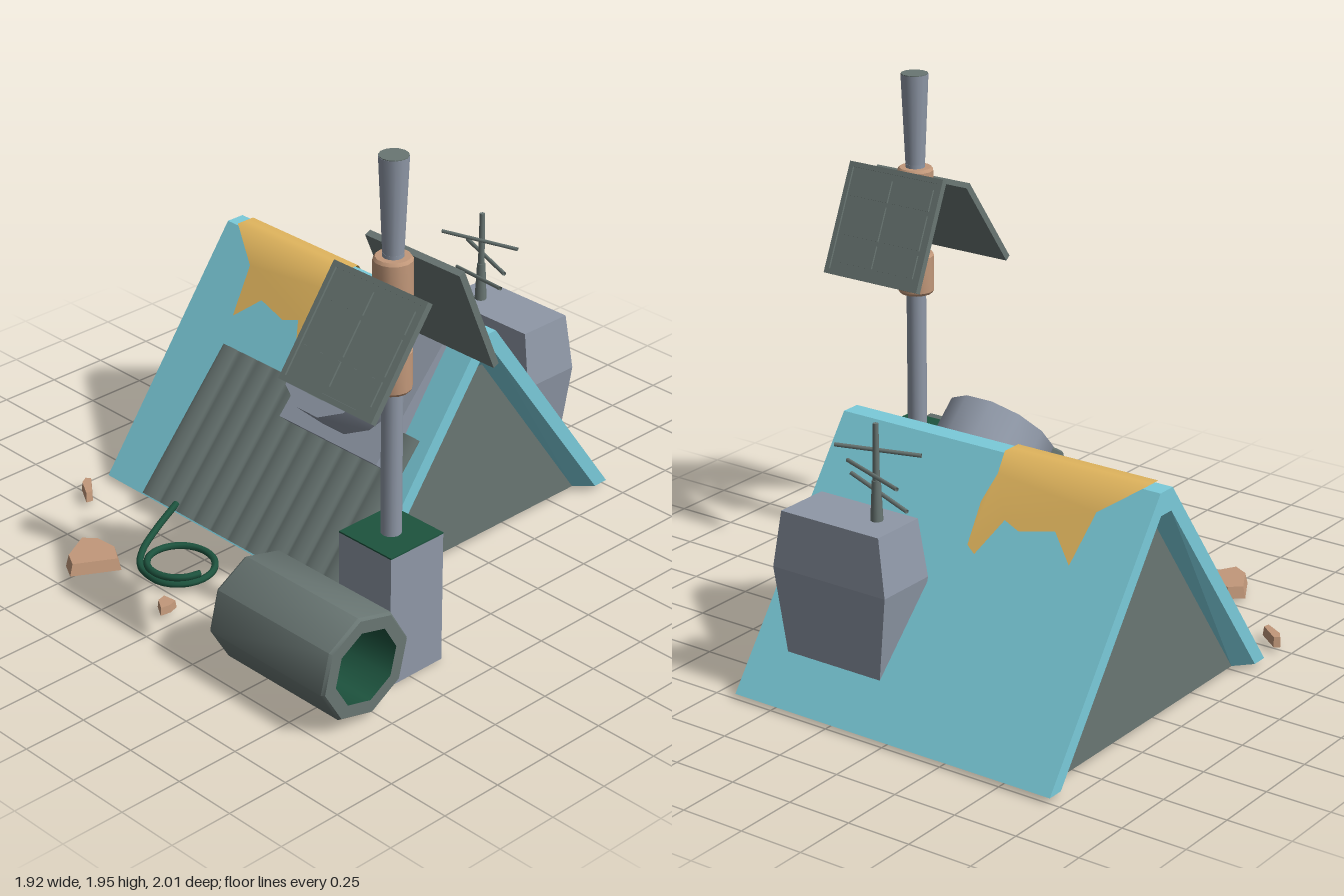
import * as THREE from 'three';
import { toCreasedNormals } from 'three/addons/utils/BufferGeometryUtils.js';
import { ConvexGeometry } from 'three/addons/geometries/ConvexGeometry.js';

const mat = (name, color, side = THREE.FrontSide) => {
  const m = new THREE.MeshStandardMaterial({ color, side });
  m.name = name;
  return m;
};

export function createModel() {
  const teal = mat('teal canvas', 0x7acbda);
  const gold = mat('gold cloth', 0xe2b65e, THREE.DoubleSide);
  const slate = mat('slate metal', 0x8f98a7);
  const grey = mat('dark grey metal', 0x697673, THREE.DoubleSide);
  const copper = mat('copper brown', 0xc2987a);
  const green = mat('dark green', 0x1d533e);

  const model = new THREE.Group();
  model.name = 'campModel';
  const group = (name, parent = model) => {
    const g = new THREE.Group();
    g.name = name;
    parent.add(g);
    return g;
  };
  const add = (parent, name, geo, material, x = 0, y = 0, z = 0) => {
    const m = new THREE.Mesh(geo, material);
    m.name = name;
    m.position.set(x, y, z);
    parent.add(m);
    return m;
  };
  const box = (w, h, d) => new THREE.BoxGeometry(w, h, d);
  const lathe = (pts, n, crease) => toCreasedNormals(
    new THREE.LatheGeometry(pts.map(p => new THREE.Vector2(...p)), n).rotateY(Math.PI / n), crease);
  const vec = p => new THREE.Vector3(...p);

  // Tent shell: A-shaped sections lofted along x, open underneath.
  // Thin canvas inside, with a thick flared rim at both ends
  const tent = group('tent');
  const midZ = -0.315, x0 = -0.96, x1 = 0.412, inset = 0.06, rim = 0.065;
  const section = (x, w, h) => [
    [0.685, 0.02], [0.038, 0.905], [-0.038, 0.905], [-0.685, 0.02],
    [-w, 0.02], [-0.032, h], [0.032, h], [w, 0.02],
  ].map(([z, y]) => [x, y, z + midZ]);
  const loops = [
    section(x0, 0.62, 0.82), section(x0 + inset, 0.555, 0.745), section(x0 + rim, 0.675, 0.893),
    section(x1 - rim, 0.675, 0.893), section(x1 - inset, 0.555, 0.745), section(x1, 0.62, 0.82),
  ];
  const pos = [];
  const quad = (a, b, c, d) => pos.push(...a, ...b, ...c, ...a, ...c, ...d);
  for (let s = 0; s < loops.length - 1; s++) {
    for (let i = 0; i < 8; i++) {
      const j = (i + 1) % 8, A = loops[s], B = loops[s + 1];
      quad(A[i], B[i], B[j], A[j]);
    }
  }
  for (const [a, b, c, d] of [[0, 1, 6, 7], [1, 2, 5, 6], [2, 3, 4, 5]]) {
    const L = loops[0], R = loops[loops.length - 1];
    quad(L[a], L[b], L[c], L[d]);
    quad(R[d], R[c], R[b], R[a]);
  }
  const shell = new THREE.BufferGeometry();
  shell.setAttribute('position', new THREE.Float32BufferAttribute(pos, 3));
  shell.computeVertexNormals();
  add(tent, 'tentShell', shell, teal);

  // Recessed end sheets
  const endShape = new THREE.Shape(
    [[-0.555, 0.02], [0.555, 0.02], [0.032, 0.745], [-0.032, 0.745]].map(p => new THREE.Vector2(...p)));
  for (const [name, x] of [['rightEndSheet', x0 + inset], ['leftEndSheet', x1 - inset]]) {
    add(tent, name, new THREE.ShapeGeometry(endShape).rotateY(Math.PI / 2), grey, x, 0, midZ);
  }

  // Torn cloth draped over the ridge: outline in (x, distance from ridge), folded down each slope
  const torn = [
    [-0.90, 0.04], [-0.75, 0.115], [-0.72, 0.235], [-0.62, 0.175], [-0.48, 0.195],
    [-0.41, 0.18], [-0.34, 0.265], [-0.30, 0.25], [-0.29, 0.155], [-0.315, 0.09], [-0.31, 0.04],
  ];
  const patch = group('ridgeCloth', tent);
  // Normals turn smoothly from straight up at the ridge to the slope direction
  const drape = (geo, side) => {
    const p = geo.attributes.position, n = geo.attributes.normal;
    for (let i = 0; i < p.count; i++) {
      const w = p.getZ(i) - midZ;
      const t = Math.min(1, Math.abs(w) / 0.1) * 0.942;
      n.setXYZ(i, 0, Math.cos(t), Math.sign(side || w) * Math.sin(t));
    }
    return geo;
  };
  for (const side of [1, -1]) {
    const g = new THREE.ShapeGeometry(new THREE.Shape(torn.map(p => new THREE.Vector2(...p))));
    const p = g.attributes.position;
    for (let i = 0; i < p.count; i++) {
      const w = p.getY(i);
      p.setXYZ(i, p.getX(i), 0.914 - 1.372 * (w - 0.04), midZ + side * w);
    }
    if (side > 0) g.setIndex(Array.from(g.index.array).reverse());
    add(patch, 'clothFlap', drape(g, side), gold);
  }
  add(patch, 'clothTop', drape(new THREE.PlaneGeometry(0.59, 0.08, 1, 2).rotateX(-Math.PI / 2)
    .translate(-0.605, 0.914, midZ), 0), gold);

  // Corrugated sheet leaning on the front slope: flat ribs parted by shallow grooves
  const wave = new THREE.Shape();
  const W = 1.06, ribs = 11, rib = W / ribs;
  wave.moveTo(0, -0.008);
  wave.lineTo(W, -0.008);
  for (let i = ribs; i > 0; i--) {
    wave.lineTo(i * rib, -0.001);
    wave.lineTo((i - 0.15) * rib, 0.005);
    wave.lineTo((i - 0.5) * rib, 0.008);
    wave.lineTo((i - 0.85) * rib, 0.005);
  }
  wave.lineTo(0, -0.001);
  const sheet = add(model, 'corrugatedSheet', toCreasedNormals(
    new THREE.ExtrudeGeometry(wave, { depth: 0.65, bevelEnabled: false }), 0.9), grey, -0.70, 0.558, -0.012);
  sheet.rotation.x = Math.atan2(0.49, 0.43);

  // Fan unit on the front slope
  const fan = group('fanUnit');
  fan.position.set(0.028, 0.67, -0.04);
  fan.rotation.x = -Math.atan2(0.67, 0.74);
  add(fan, 'mountingPlate', box(0.515, 0.53, 0.07), slate, 0, 0.01, -0.035);
  add(fan, 'fanHousing', lathe([[0.215, -0.01], [0.215, 0.18], [0.15, 0.18]], 12, 0.6)
    .rotateX(Math.PI / 2), slate);
  add(fan, 'fanWell', lathe([[0.15, 0.18], [0.135, 0.04], [0, 0.04]], 12, 0.6)
    .rotateX(Math.PI / 2), grey);
  add(fan, 'fanHub', new THREE.CylinderGeometry(0.045, 0.052, 0.06, 10).rotateX(Math.PI / 2), grey, 0, 0, 0.11);
  for (let i = 0; i < 6; i++) {
    const a = i * Math.PI / 3 + Math.PI / 6;
    const blade = add(fan, 'fanBlade', box(0.11, 0.03, 0.012), grey,
      Math.cos(a) * 0.085, Math.sin(a) * 0.085, 0.1);
    blade.rotation.set(0.35, 0, a, 'ZYX');
  }

  // Rear equipment box and aerial
  const rear = group('rearBox');
  const ring = (y, xa, xb, za, zb) => [[xa, y, za], [xb, y, za], [xb, y, zb], [xa, y, zb]];
  add(rear, 'equipmentCase', new ConvexGeometry([
    ...ring(0.725, -0.16, 0.27, -0.665, -0.89),
    ...ring(0.51, -0.195, 0.302, -0.655, -0.903),
    ...ring(0.17, -0.15, 0.26, -0.67, -0.88)].map(vec)), slate);
  add(rear, 'aerialBase', new THREE.CylinderGeometry(0.016, 0.024, 0.17, 8), grey, -0.055, 0.79, -0.762);
  add(rear, 'aerialMast', new THREE.CylinderGeometry(0.01, 0.013, 0.22, 8), grey, -0.055, 0.975, -0.762);
  for (const [a, b] of [
    [[-0.205, 0.98, -0.70], [0.105, 0.98, -0.79]],
    [[-0.205, 0.90, -0.84], [0.105, 0.90, -0.72]],
    [[-0.205, 0.80, -0.785], [0.105, 0.845, -0.70]],
  ]) {
    add(rear, 'aerialBar', new THREE.TubeGeometry(new THREE.LineCurve3(vec(a), vec(b)), 1, 0.008, 6), grey);
  }

  // Solar mast
  const mast = group('solarMast');
  mast.position.set(0.705, 0, 0.468);
  add(mast, 'mastBase', box(0.257, 0.515, 0.255), slate, 0, 0.2575, 0);
  add(mast, 'mastBaseTop', box(0.257, 0.006, 0.255), green, 0, 0.518, 0);
  add(mast, 'mastPole', new THREE.CylinderGeometry(0.038, 0.038, 1.08, 14), slate, 0, 1.06, 0);
  add(mast, 'mastTop', new THREE.CylinderGeometry(0.053, 0.037, 0.36, 14), slate, 0, 1.77, 0);
  add(mast, 'mastCap', new THREE.CylinderGeometry(0.052, 0.052, 0.004, 14), grey, 0, 1.951, 0);
  for (const y of [1.165, 1.505]) {
    add(mast, 'mastCollar', lathe([[0, -0.081], [0.062, -0.081], [0.07, -0.07], [0.07, 0.07],
      [0.062, 0.081], [0, 0.081]], 14, 0.6), copper, 0, y, 0);
  }

  // Solar panels: local z runs down the panel, local y is its face
  const panel = (name, y, z, tilt, turn) => {
    const p = group(name);
    p.position.set(0.733, y, z);
    p.rotation.set(tilt, turn, 0, 'YXZ');
    add(p, 'panelBoard', box(0.445, 0.018, 0.44), grey, 0, -0.012, 0.22);
    for (const s of [-1, 1]) {
      add(p, 'panelSideFrame', box(0.02, 0.026, 0.44), grey, s * 0.2125, -0.008, 0.22);
      add(p, 'panelEndFrame', box(0.405, 0.026, 0.02), grey, 0, -0.008, 0.22 + s * 0.21);
      for (const [zc, d] of [[0.0875, 0.085], [0.215, 0.135], [0.345, 0.09]]) {
        add(p, 'panelCell', box(0.18, 0.009, d), grey, s * 0.098, 0, zc);
      }
    }
  };
  panel('frontPanel', 1.53, 0.55, Math.atan2(0.355, 0.26), 0);
  panel('backPanel', 1.585, 0.39, Math.atan2(0.405, 0.175), Math.PI);

  // Hollow drum lying on its side
  const drum = group('drum');
  drum.position.set(0.35, 0.222, 0.806);
  drum.rotation.x = -0.25;
  const L = 0.58;
  add(drum, 'drumWall', lathe([[0.145, 0], [0.196, 0], [0.205, 0.012], [0.205, L - 0.012], [0.196, L], [0.145, L]],
    8, 0.85).rotateZ(-Math.PI / 2), grey);
  add(drum, 'drumInside', lathe([[0.145, L], [0.14, L / 2], [0, L / 2], [0.14, L / 2], [0.145, 0]],
    8, 0.85).rotateZ(-Math.PI / 2), green);

  // Coiled hose
  const hosePts = [[-0.52, 0.09, 0.40], [-0.485, 0.05, 0.53], [-0.42, 0.035, 0.655], [-0.34, 0.032, 0.735]];
  for (let i = 0; i <= 16; i++) {
    const a = Math.PI / 2 - i * Math.PI / 6.5;
    hosePts.push([-0.228 + 0.126 * Math.cos(a), 0.035 + 0.0022 * i, 0.634 + 0.126 * Math.sin(a)]);
  }
  add(model, 'hose', new THREE.TubeGeometry(new THREE.CatmullRomCurve3(hosePts.map(vec)), 90, 0.0135, 7), green);

  // Loose rocks: footprint outlines with a smaller top
  const rocks = [
    [0.065, [[-0.62, 0.79], [-0.57, 0.745], [-0.47, 0.737], [-0.385, 0.79], [-0.48, 0.957], [-0.55, 0.92]]],
    [0.058, [[-0.96, 0.485], [-0.94, 0.47], [-0.85, 0.54], [-0.855, 0.568], [-0.94, 0.52]]],
    [0.05, [[-0.11, 0.82], [-0.05, 0.812], [-0.038, 0.85], [-0.045, 0.893], [-0.10, 0.86]]],
  ];
  for (const [h, outline] of rocks) {
    const cx = outline.reduce((s, p) => s + p[0], 0) / outline.length;
    const cz = outline.reduce((s, p) => s + p[1], 0) / outline.length;
    const level = (y, k) => outline.map(([x, z]) => new THREE.Vector3(cx + (x - cx) * k, y, cz + (z - cz) * k));
    add(model, 'rock', new ConvexGeometry([...level(0.02, 1), ...level(h, 0.88)]), copper);
  }

  return model;
}
